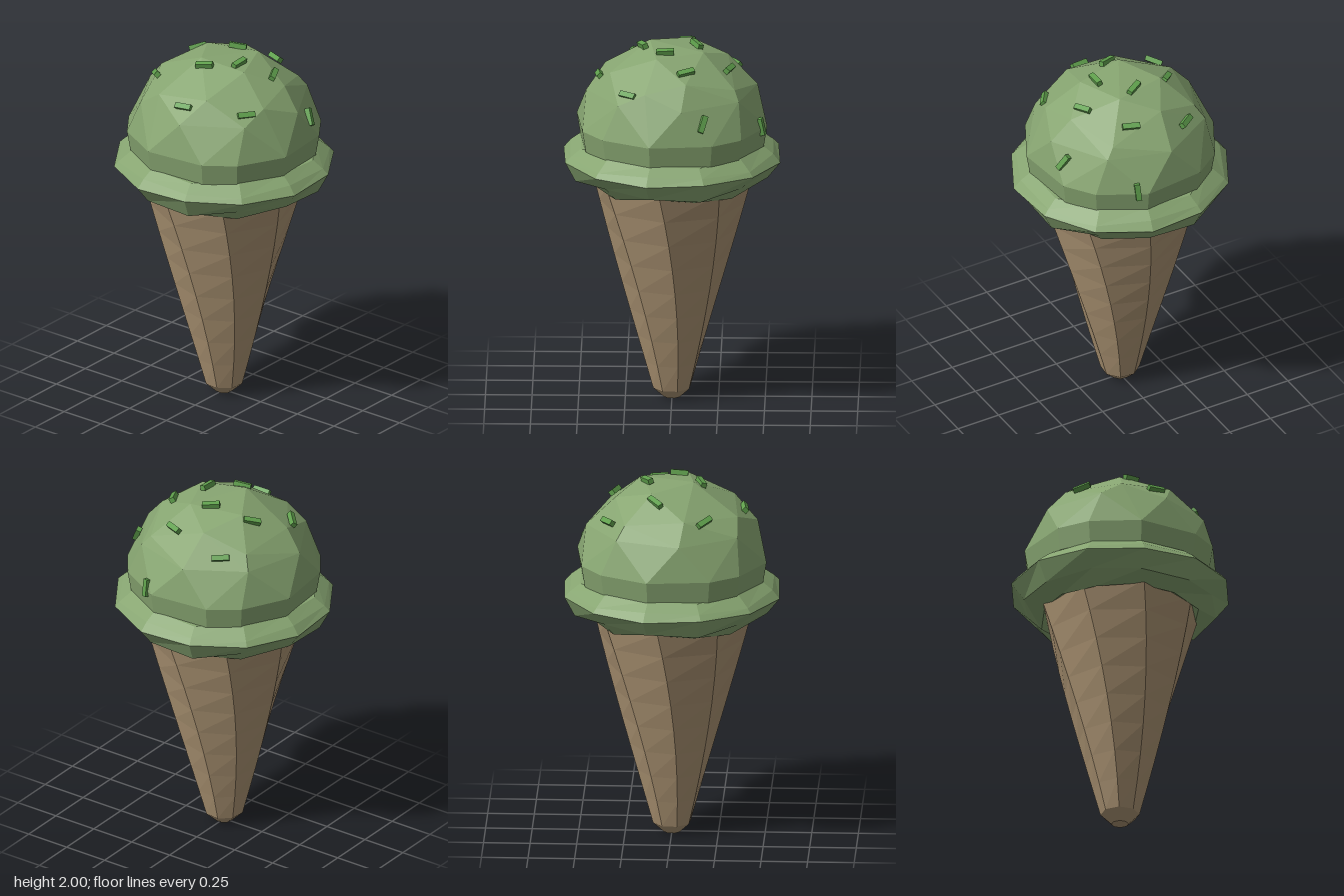
import * as THREE from 'three';
import { ConvexGeometry } from 'three/addons/geometries/ConvexGeometry.js';

const rad = THREE.MathUtils.degToRad;
const flat = (color) => new THREE.MeshStandardMaterial({ color, flatShading: true });

// Point at an angle (measured from the front towards +x), radius and height
const polar = (deg, r, y) => new THREE.Vector3(r * Math.sin(rad(deg)), y, r * Math.cos(rad(deg)));

// Skin between equal rings listed from bottom to top
function loft(rings, closedLoop = false) {
  const n = rings[0].length, pos = [], index = [];
  rings.forEach((ring) => ring.forEach((p) => pos.push(p.x, p.y, p.z)));
  const last = closedLoop ? rings.length : rings.length - 1;
  for (let i = 0; i < last; i++) {
    for (let j = 0; j < n; j++) {
      const up = (i + 1) % rings.length, k = (j + 1) % n;
      const a = i * n + j, b = i * n + k, c = up * n + k, d = up * n + j;
      index.push(a, b, c, a, c, d);
    }
  }
  const geo = new THREE.BufferGeometry();
  geo.setAttribute('position', new THREE.Float32BufferAttribute(pos, 3));
  geo.setIndex(index);
  geo.computeVertexNormals();
  return geo;
}

const SCOOP_Y = 1.48, SCOOP_R = 0.527;
const onScoop = (x, z) =>
  new THREE.Vector3(x, SCOOP_Y + Math.sqrt(Math.max(0, SCOOP_R ** 2 - x * x - z * z)), z);

// Eight-sided twisted cone with a blunt tip
function coneGeometry() {
  const ring = (deg, r, y) => Array.from({ length: 8 }, (_, j) => polar(deg + j * 45, r, y));
  const rings = [ring(17, 0.0001, 0), ring(17, 0.046, 0)];
  const rows = 8;
  for (let i = 0; i <= rows; i++) {
    const t = i / rows;
    rings.push(ring(17 - 25 * t, 0.105 + 0.328 * t, 0.055 + 1.195 * t));
  }
  rings.push(ring(-8, 0.0001, 1.25));
  return loft(rings);
}

// Lumpy collar of ice cream around the foot of the scoop
function rimGeometry() {
  const profile = [
    // radius, height, radius wave, height wave
    [0.36, 1.26, 0, 0],
    [0.425, 1.225, 0.015, 0.015],
    [0.525, 1.275, 0.015, 0.015],
    [0.597, 1.365, 0, 0.005],
    [0.565, 1.4, 0.01, 0.01],
    [0.495, 1.455, 0.015, 0.015],
    [0.4, 1.45, 0, 0],
  ];
  const rings = profile.map(([r, y, dr, dy], i) =>
    Array.from({ length: 12 }, (_, j) => {
      const w = [1, -0.7, 0.2][(j + i) % 3];
      return polar(-12.5 + j * 30, r + dr * w, y - dy * w);
    }));
  return loft(rings, true);
}

// Faceted scoop: irregular points on a ball, with a tucked-in foot
function scoopGeometry() {
  const pts = [];
  for (let q = 0; q < 4; q++) {
    [-12.6, 25, 46].forEach((deg) => {
      pts.push(polar(deg + q * 90, 0.525, 1.56));
      pts.push(polar(deg + q * 90, 0.505, 1.44));
    });
    pts.push(polar(q * 90 + 7, 0.462, 1.745), polar(q * 90 + 52, 0.46, 1.75));
  }
  [
    [-0.06, 0.12], [0.2, 0.08], [0.1, -0.17], [-0.19, -0.1],
    [-0.36, 0.08], [-0.16, 0.36], [0.14, 0.33], [0.38, 0.14],
    [0.35, -0.08], [0.24, -0.34], [-0.08, -0.3], [-0.32, -0.24],
  ].forEach(([x, z]) => pts.push(onScoop(x, z)));
  return new ConvexGeometry(pts);
}

// Sprinkles: x, z on the scoop, then the direction they lie in
const SPRINKLES = [
  [-0.22, -0.34, 0.8, 0, -0.6],
  [0.11, -0.315, 0.95, 0, 0.35],
  [0.168, -0.49, 0.1, 1, 0],
  [0.455, -0.175, 0, 0.9, -0.4],
  [-0.01, -0.135, 0.85, 0, -0.5],
  [0.28, -0.08, 0.5, 0, 0.87],
  [0.133, 0.035, 0, 0, 1],
  [-0.245, -0.08, 0.8, 0, -0.6],
  [-0.32, 0.19, 0.85, 0, 0.5],
  [-0.01, 0.16, 0.92, 0, -0.38],
  [0.34, 0.235, 0.6, 0, -0.8],
  [0.03, 0.395, 0.97, 0, -0.2],
];

function createSprinkles() {
  const group = new THREE.Group();
  group.name = 'sprinkles';
  const geo = new THREE.BoxGeometry(0.095, 0.028, 0.03);
  const mat = flat(0x5f9f4c);
  const centre = new THREE.Vector3(0, SCOOP_Y, 0);
  SPRINKLES.forEach(([x, z, dx, dy, dz]) => {
    const mesh = new THREE.Mesh(geo, mat);
    mesh.name = 'sprinkle';
    const p = onScoop(x, z);
    const normal = p.clone().sub(centre).normalize();
    const along = new THREE.Vector3(dx, dy, dz).projectOnPlane(normal).normalize();
    const side = along.clone().cross(normal);
    mesh.quaternion.setFromRotationMatrix(new THREE.Matrix4().makeBasis(along, normal, side));
    mesh.position.copy(p).addScaledVector(normal, -0.008);
    group.add(mesh);
  });
  return group;
}

export function createModel() {
  const model = new THREE.Group();
  model.name = 'iceCreamCone';
  const cream = flat(0x87a571);
  const add = (name, geo, mat) => {
    const mesh = new THREE.Mesh(geo, mat);
    mesh.name = name;
    model.add(mesh);
  };
  add('cone', coneGeometry(), flat(0xac9473));
  add('scoopRim', rimGeometry(), cream);
  add('scoop', scoopGeometry(), cream);
  model.add(createSprinkles());
  return model;
}
